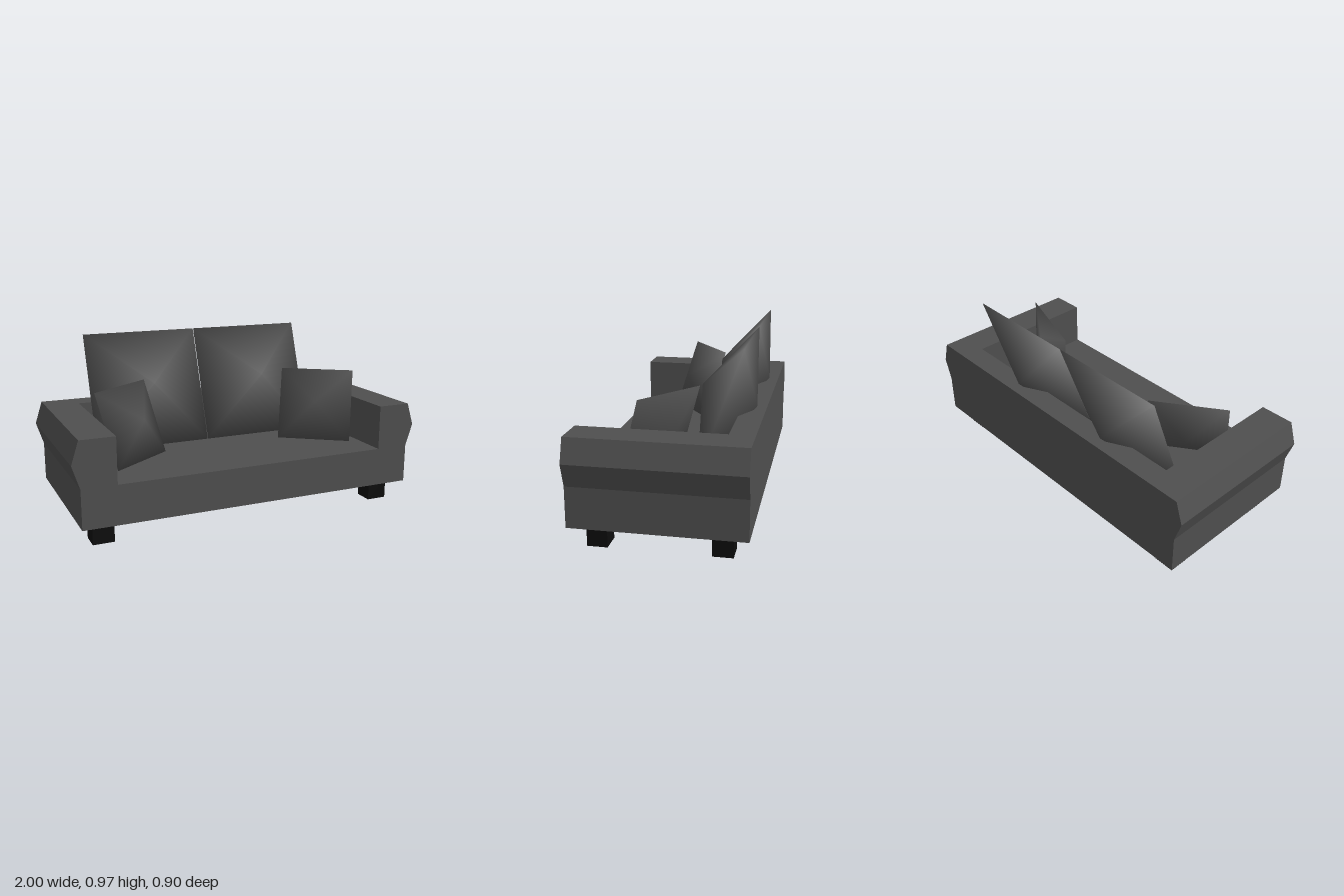
import * as THREE from 'three';

const fabric = new THREE.MeshStandardMaterial({ color: 0x4f4f4f });
fabric.name = 'charcoal fabric';
const black = new THREE.MeshStandardMaterial({ color: 0x0d0d0d });
black.name = 'black legs';

const SEAT = 0.335, TOP = 0.585;

function addMesh(parent, name, geometry, material) {
  const mesh = new THREE.Mesh(geometry, material);
  mesh.name = name;
  parent.add(mesh);
  return mesh;
}

// Extrudes a front outline from z0 to z1
function slab(points, z0, z1) {
  const shape = new THREE.Shape(points.map(([x, y]) => new THREE.Vector2(x, y)));
  return new THREE.ExtrudeGeometry(shape, { depth: z1 - z0, bevelEnabled: false }).translate(0, 0, z0);
}

// Square pillow: four corners with a peak on each side, smooth normals
function pillowGeometry(size, peak) {
  const h = size / 2;
  const g = new THREE.BufferGeometry();
  g.setAttribute('position', new THREE.Float32BufferAttribute(
    [-h, -h, 0, h, -h, 0, h, h, 0, -h, h, 0, 0, 0, peak, 0, 0, -peak], 3));
  const index = [];
  for (let i = 0; i < 4; i++) {
    const j = (i + 1) % 4;
    index.push(i, j, 4, j, i, 5);
  }
  g.setIndex(index);
  g.computeVertexNormals();
  return g;
}

export function createModel() {
  const sofa = new THREE.Group();
  sofa.name = 'sofa';

  // Body: seat with arms, and the backrest behind it
  const rightSide = [[-0.96, TOP], [-1, 0.46], [-0.96, SEAT], [-0.96, 0.12]];
  const leftSide = rightSide.map(([x, y]) => [-x, y]).reverse();
  const outer = [...rightSide, ...leftSide];
  const inner = [[0.772, TOP], [0.772, SEAT], [-0.772, SEAT], [-0.772, TOP]];
  addMesh(sofa, 'seatAndArms', slab([...outer, ...inner], -0.32, 0.45), fabric);
  addMesh(sofa, 'backrest', slab(outer, -0.45, -0.32), fabric);

  // Legs
  for (const x of [-0.833, 0.833]) {
    for (const z of [-0.315, 0.315]) {
      addMesh(sofa, z > 0 ? 'frontLeg' : 'backLeg', new THREE.BoxGeometry(0.116, 0.122, 0.106), black)
        .position.set(x, 0.061, z);
    }
  }

  // Large back cushions leaning on the backrest
  for (const x of [-0.381, 0.298]) {
    const cushion = addMesh(sofa, 'backCushion', pillowGeometry(0.676, 0.157), fabric);
    cushion.position.set(x, 0.655, -0.255);
    cushion.rotation.x = -0.345;
  }

  // Small cushions turned inward against the arms
  for (const side of [-1, 1]) {
    const cushion = addMesh(sofa, 'armCushion', pillowGeometry(0.426, 0.097), fabric);
    cushion.position.set(side * 0.575, 0.535, 0.061);
    cushion.rotation.set(-0.342, -side * 0.61, 0, 'YXZ');
  }
  return sofa;
}
